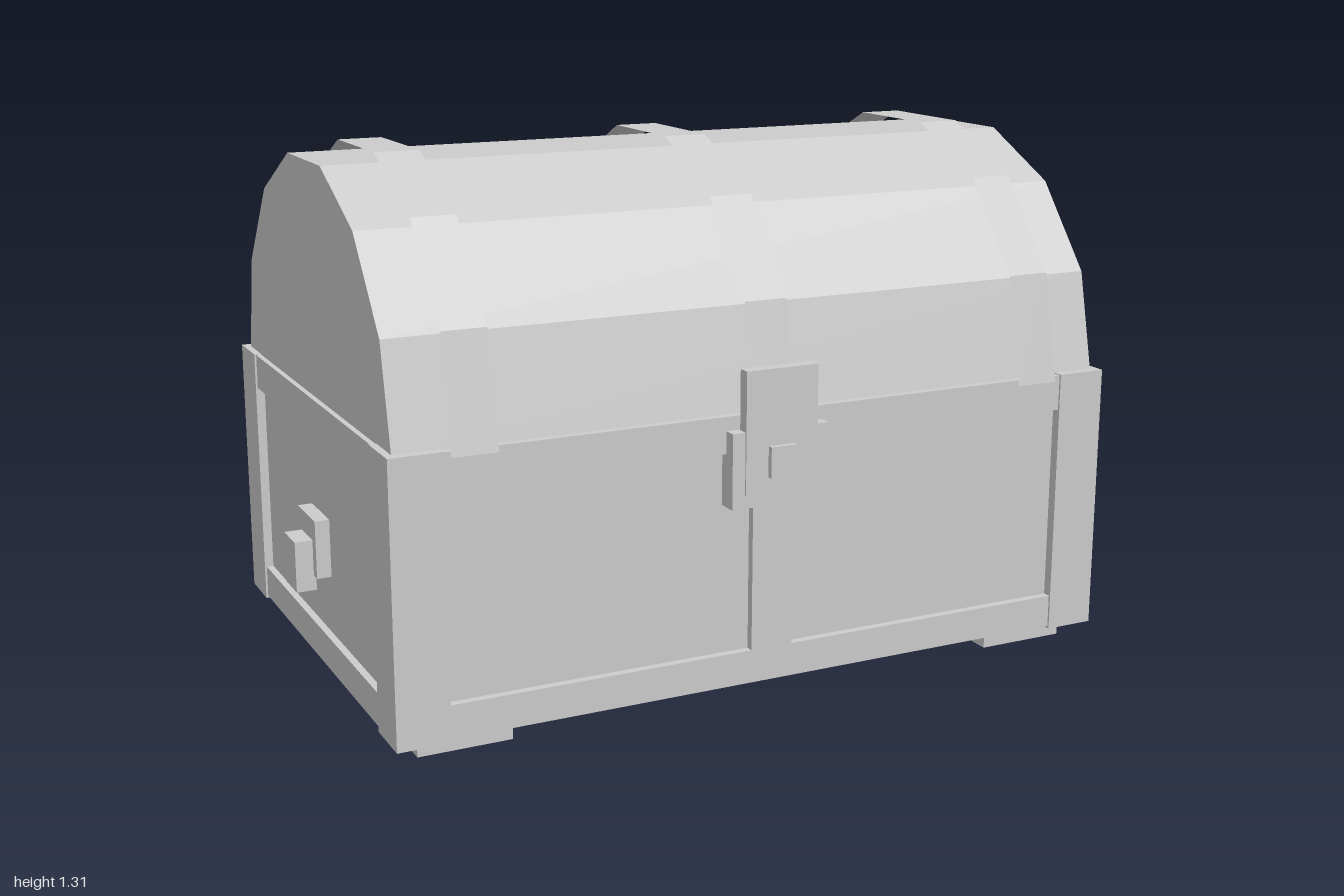
import * as THREE from 'three';

const grey = new THREE.MeshStandardMaterial({ color: 0xcccccc, flatShading: true, side: THREE.DoubleSide });
grey.name = 'plain grey';

export function createModel() {
  const chest = new THREE.Group();
  chest.name = 'chest';

  // Box given by its extents on each axis
  function block(name, x0, x1, y0, y1, z0, z1) {
    const mesh = new THREE.Mesh(new THREE.BoxGeometry(x1 - x0, y1 - y0, z1 - z0), grey);
    mesh.position.set((x0 + x1) / 2, (y0 + y1) / 2, (z0 + z1) / 2);
    mesh.name = name;
    chest.add(mesh);
  }

  // Body with recessed panels
  block('bodyPanels', -0.92, 0.92, 0.06, 0.70, -0.615, 0.575);

  // Raised rails around the panels
  block('topRail', -0.938, 0.938, 0.625, 0.714, -0.635, 0.595);
  block('bottomRail', -0.938, 0.938, 0.048, 0.13, -0.635, 0.595);
  block('frontDivider', -0.055, 0.055, 0.10, 0.65, 0.55, 0.595);

  // Corner posts, slightly proud of the rails
  for (const s of [-1, 1]) {
    const x0 = s < 0 ? -0.943 : 0.815;
    const x1 = s < 0 ? -0.815 : 0.943;
    block('frontPost', x0, x1, 0.042, 0.716, 0.47, 0.60);
    block('backPost', x0, x1, 0.042, 0.716, -0.64, -0.51);
  }

  // Feet and side handles, mirrored
  for (const s of [-1, 1]) {
    const pair = (a, b) => (s < 0 ? [-b, -a] : [a, b]);
    block('foot', ...pair(0.65, 0.88), 0, 0.06, -0.59, 0.55);
    block('handlePlate', ...pair(0.91, 0.956), 0.277, 0.422, -0.093, 0.055);
    block('handleGrip', ...pair(0.95, 1.0), 0.24, 0.367, -0.066, 0.028);
  }

  // Faceted lid
  const profile = [[0.575, 0.71], [0.52, 0.958], [0.353, 1.167], [0.117, 1.282],
    [-0.157, 1.282], [-0.393, 1.167], [-0.56, 0.958], [-0.615, 0.71]];
  const shape = new THREE.Shape(profile.map(([z, y]) => new THREE.Vector2(-z, y)));
  const lidGeometry = new THREE.ExtrudeGeometry(shape, { depth: 1.85, bevelEnabled: false });
  lidGeometry.translate(0, 0, -0.925).rotateY(Math.PI / 2);
  const lid = new THREE.Mesh(lidGeometry, grey);
  lid.name = 'lid';
  chest.add(lid);

  // Lid straps: open strips floating just above the lid
  const arc = [[0.60, 0.70], [0.543, 0.968], [0.366, 1.19], [0.122, 1.307],
    [-0.162, 1.307], [-0.406, 1.19], [-0.583, 0.968], [-0.645, 0.70]];
  for (const x of [-0.743, 0, 0.743]) {
    const points = [];
    const index = [];
    arc.forEach(([z, y], i) => {
      points.push(x - 0.055, y, z, x + 0.055, y, z);
      if (i > 0) {
        const a = 2 * i - 2;
        index.push(a, a + 1, a + 3, a, a + 3, a + 2);
      }
    });
    const geometry = new THREE.BufferGeometry();
    geometry.setAttribute('position', new THREE.Float32BufferAttribute(points, 3));
    geometry.setIndex(index);
    const flat = geometry.toNonIndexed();
    flat.computeVertexNormals();
    const strap = new THREE.Mesh(flat, grey);
    strap.name = 'lidStrap';
    chest.add(strap);
  }

  // Lock
  block('lockPlate', -0.127, 0.127, 0.497, 0.68, 0.575, 0.627);
  block('hasp', -0.094, 0.094, 0.53, 0.825, 0.60, 0.631);
  block('lockStud', -0.035, 0.035, 0.567, 0.642, 0.61, 0.645);

  return chest;
}
